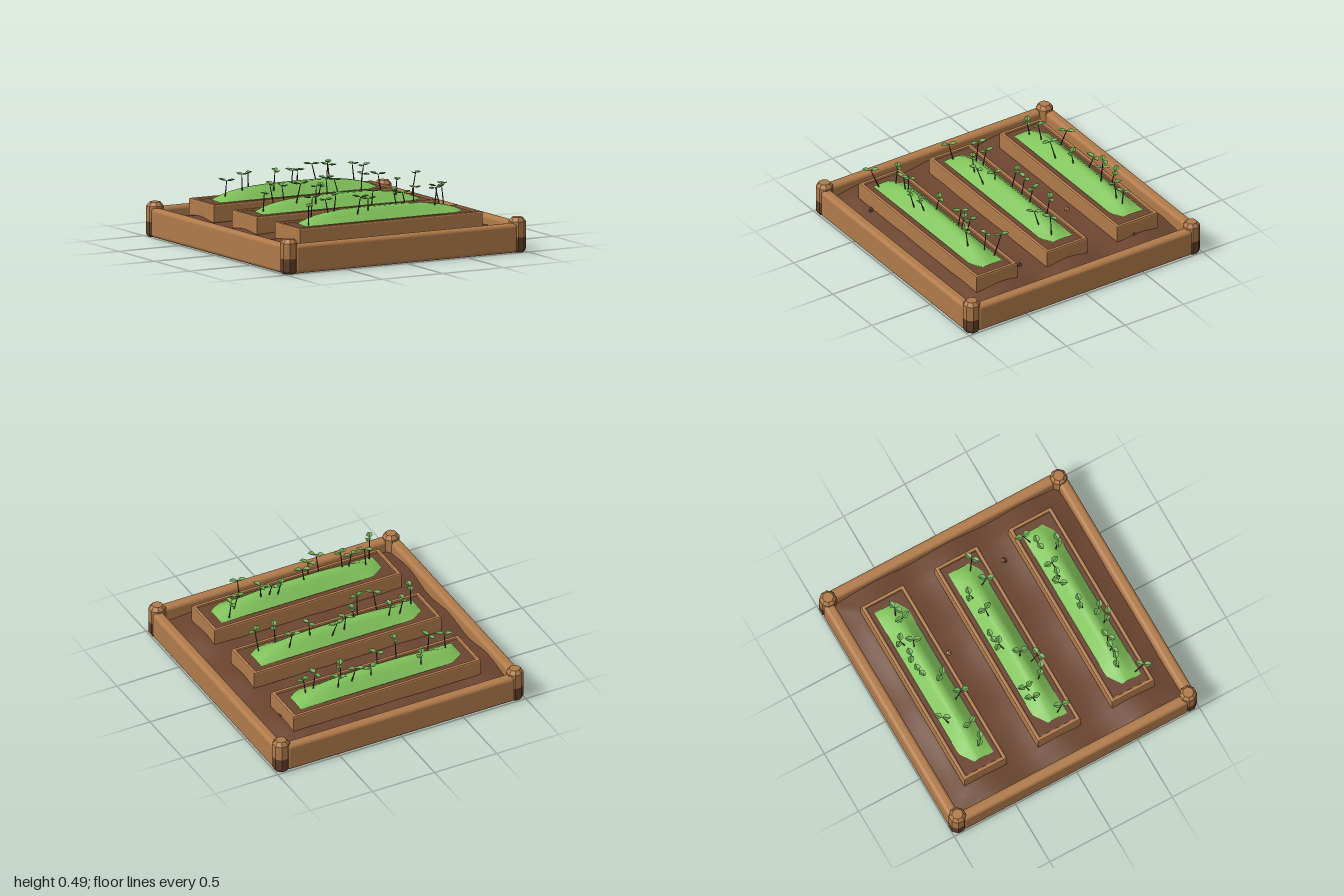
import * as THREE from 'three';
import { RoundedBoxGeometry } from 'three/addons/geometries/RoundedBoxGeometry.js';

const mat = (name, color, side = THREE.FrontSide) => {
  const m = new THREE.MeshStandardMaterial({ color, side });
  m.name = name;
  return m;
};
const M = {
  wood: mat('wood', 0xb07a4a),
  darkWood: mat('dark wood', 0x5f3d28),
  soil: mat('soil', 0x6b4530, THREE.DoubleSide),
  green: mat('green cover', 0x80c25a, THREE.DoubleSide),
  leaf: mat('leaf', 0x6aa84f, THREE.DoubleSide),
  stem: mat('stem', 0x4c4a38),
  purple: mat('purple stem', 0x5e2244),
};

const mesh = (parent, name, geo, material, x = 0, y = 0, z = 0) => {
  const m = new THREE.Mesh(geo, material);
  m.name = name;
  m.position.set(x, y, z);
  parent.add(m);
  return m;
};

// faceted copy of a geometry
const flat = (g) => {
  const f = g.toNonIndexed();
  f.computeVertexNormals();
  return f;
};

// octagonal turned piece from [radius, height] pairs
const turned = (pts) => flat(new THREE.LatheGeometry(pts.map(([r, y]) => new THREE.Vector2(r, y)), 8).rotateY(Math.PI / 8));

// horizontal grid whose points are moved by a rule
const sheet = (w, d, nx, nz, rule) => {
  const g = new THREE.PlaneGeometry(w, d, nx, nz).rotateX(-Math.PI / 2);
  const p = g.attributes.position;
  for (let i = 0; i < p.count; i++) p.setXYZ(i, ...rule(p.getX(i), p.getZ(i)));
  g.computeVertexNormals();
  return g;
};

const rect = (T, w, d) => {
  const s = new T();
  s.moveTo(-w / 2, -d / 2);
  s.lineTo(w / 2, -d / 2);
  s.lineTo(w / 2, d / 2);
  s.lineTo(-w / 2, d / 2);
  s.closePath();
  return s;
};

// folded five-sided leaf, growing along +x
const leafGeometry = () => {
  const g = new THREE.BufferGeometry();
  g.setAttribute('position', new THREE.Float32BufferAttribute([
    0.03, -0.004, 0, 0, 0, 0, 0.022, 0.008, 0.024, 0.048, 0.009, 0.016,
    0.062, 0.004, 0, 0.048, 0.009, -0.016, 0.022, 0.008, -0.024], 3));
  g.setIndex([0, 1, 2, 0, 2, 3, 0, 3, 4, 0, 4, 5, 0, 5, 6, 0, 6, 1]);
  return flat(g);
};

const BED_Z = [-0.605, -0.003, 0.6];
// sprouts per bed: x, z, leaf direction in degrees
const SPROUTS = [
  [[-0.58, -0.55, 20], [-0.45, -0.56, 60], [-0.31, -0.71, 120], [-0.21, -0.5, 95], [-0.03, -0.56, 40], [0.08, -0.68, 160],
    [0.2, -0.68, 10], [0.34, -0.69, 30], [0.29, -0.61, 110], [0.48, -0.59, 70], [0.58, -0.6, 150]],
  [[-0.64, 0.08, 95], [-0.5, -0.08, 90], [-0.4, -0.08, 80], [-0.34, 0.08, 20], [-0.23, 0.115, 155], [-0.14, 0.02, 100],
    [-0.03, -0.09, 30], [0.05, -0.11, 170], [0.245, -0.05, 65], [0.4, -0.09, 15], [0.455, 0.08, 110], [0.625, 0.055, 140]],
  [[-0.66, 0.735, 115], [-0.54, 0.585, 15], [-0.44, 0.6, 160], [-0.36, 0.61, 145], [-0.21, 0.7, 25], [-0.13, 0.67, 35],
    [-0.03, 0.57, 10], [0.17, 0.515, 120], [0.235, 0.535, 20], [0.325, 0.54, 70], [0.51, 0.53, 170], [0.445, 0.66, 5], [0.6, 0.46, 80]],
];

const coverHeight = (x, z) =>
  0.085 * Math.pow(Math.max(0, 1 - Math.pow(Math.abs(x) / 0.67, 3)), 0.8) * Math.min(1, (1 - Math.abs(z) / 0.112) * 1.3);

function addSprout(parent, [x, z, deg], zc, k, leafGeo) {
  const s = new THREE.Group();
  s.name = 'sprout';
  const top = new THREE.Vector3(x, 0.425 + 0.055 * ((k * 0.618) % 1), z);
  const bx = THREE.MathUtils.clamp(x + 0.02 * Math.sin(k * 2.3), -0.63, 0.63);
  const bz = (z - zc) * 0.62;
  const base = new THREE.Vector3(bx, 0.275 + Math.max(0, coverHeight(bx, bz)), zc + bz);
  const dir = top.clone().sub(base);
  const stem = mesh(s, 'stem', new THREE.CylinderGeometry(0.003, 0.005, dir.length(), 5), k % 4 === 2 ? M.purple : M.stem);
  stem.position.copy(base).addScaledVector(dir, 0.5);
  stem.quaternion.setFromUnitVectors(new THREE.Vector3(0, 1, 0), dir.normalize());
  for (const side of [0, 1]) {
    const l = mesh(s, 'leaf', leafGeo, M.leaf, top.x, top.y, top.z);
    l.rotation.set(0, -deg * Math.PI / 180 + side * (Math.PI - 0.35), 0.12 * Math.sin(k * 1.7 + side * 2) + 0.06);
  }
  parent.add(s);
}

export function createModel() {
  const root = new THREE.Group();
  root.name = 'raisedGarden';

  // outer frame boards
  const frame = new THREE.Group();
  frame.name = 'frame';
  root.add(frame);
  const board = new RoundedBoxGeometry(1.84, 0.21, 0.08, 4, 0.028);
  for (const s of [-1, 1]) {
    mesh(frame, 'boardAcross', board, M.wood, 0, 0.105, s * 0.957);
    mesh(frame, 'boardAlong', board, M.wood, s * 0.957, 0.105, 0).rotation.y = Math.PI / 2;
  }

  // corner posts with dark feet
  const foot = turned([[0, 0], [0.05, 0], [0.0625, 0.02], [0.0625, 0.11]]);
  const cap = turned([[0.0625, 0.11], [0.0625, 0.222], [0.04, 0.25], [0, 0.25]]);
  for (const sx of [-1, 1]) for (const sz of [-1, 1]) {
    mesh(frame, 'postFoot', foot, M.darkWood, sx * 0.942, 0, sz * 0.942);
    mesh(frame, 'post', cap, M.wood, sx * 0.942, 0, sz * 0.942);
  }

  // uneven ground, ridged under the beds and falling towards the frame
  const ground = (x, z) => {
    const edge = Math.max(0, Math.max(Math.abs(x), Math.abs(z)) - 0.78);
    return 0.157 + 0.018 * Math.cos(z * Math.PI * 2 / 0.6) + 0.006 * Math.sin(x * 9 + z * 4)
      + 0.004 * Math.sin(x * 17 - z * 11) - 0.2 * edge;
  };
  mesh(root, 'ground', sheet(1.86, 1.86, 48, 48, (x, z) => [x, ground(x, z), z]), M.soil);

  // pebbles
  const pebble = new THREE.DodecahedronGeometry(0.022);
  [[0.185, -0.38, M.wood], [0.605, 0.31, M.darkWood], [-0.585, 0.78, M.darkWood], [0.745, -0.58, M.darkWood]]
    .forEach(([x, z, m]) => mesh(root, 'pebble', pebble, m, x, ground(x, z), z));

  // bed box: bevelled rim around an opening
  const shape = rect(THREE.Shape, 1.51, 0.35);
  shape.holes.push(rect(THREE.Path, 1.45, 0.29));
  const b = 0.012;
  const rim = new THREE.ExtrudeGeometry(shape, {
    depth: 0.135 - 2 * b, bevelEnabled: true, bevelSize: b, bevelThickness: b, bevelOffset: -b, bevelSegments: 2,
  }).rotateX(-Math.PI / 2);
  const floor = new THREE.BoxGeometry(1.48, 0.02, 0.32);
  const fill = new THREE.BoxGeometry(1.46, 0.1, 0.3);

  // domed green cover with two clipped corners
  const cover = sheet(1.33, 0.224, 40, 10, (x, z) => {
    const y = coverHeight(x, z);
    if (z < 0) z *= 1 - Math.max(0, -0.56 - x) * 6;
    else z *= 1 - Math.max(0, x - 0.58) * 6;
    return [x, y, z];
  });
  const leafGeo = leafGeometry();

  BED_Z.forEach((z, i) => {
    const bed = new THREE.Group();
    bed.name = 'bed';
    mesh(bed, 'bedRim', rim, M.wood, 0, 0.15 + b, z);
    mesh(bed, 'bedFloor', floor, M.wood, 0, 0.161, z);
    mesh(bed, 'bedSoil', fill, M.soil, 0, 0.222, z);
    mesh(bed, 'greenCover', cover, M.green, 0, 0.28, z);
    SPROUTS[i].forEach((s, j) => addSprout(bed, s, z, i * 13 + j, leafGeo));
    root.add(bed);
  });
  return root;
}
